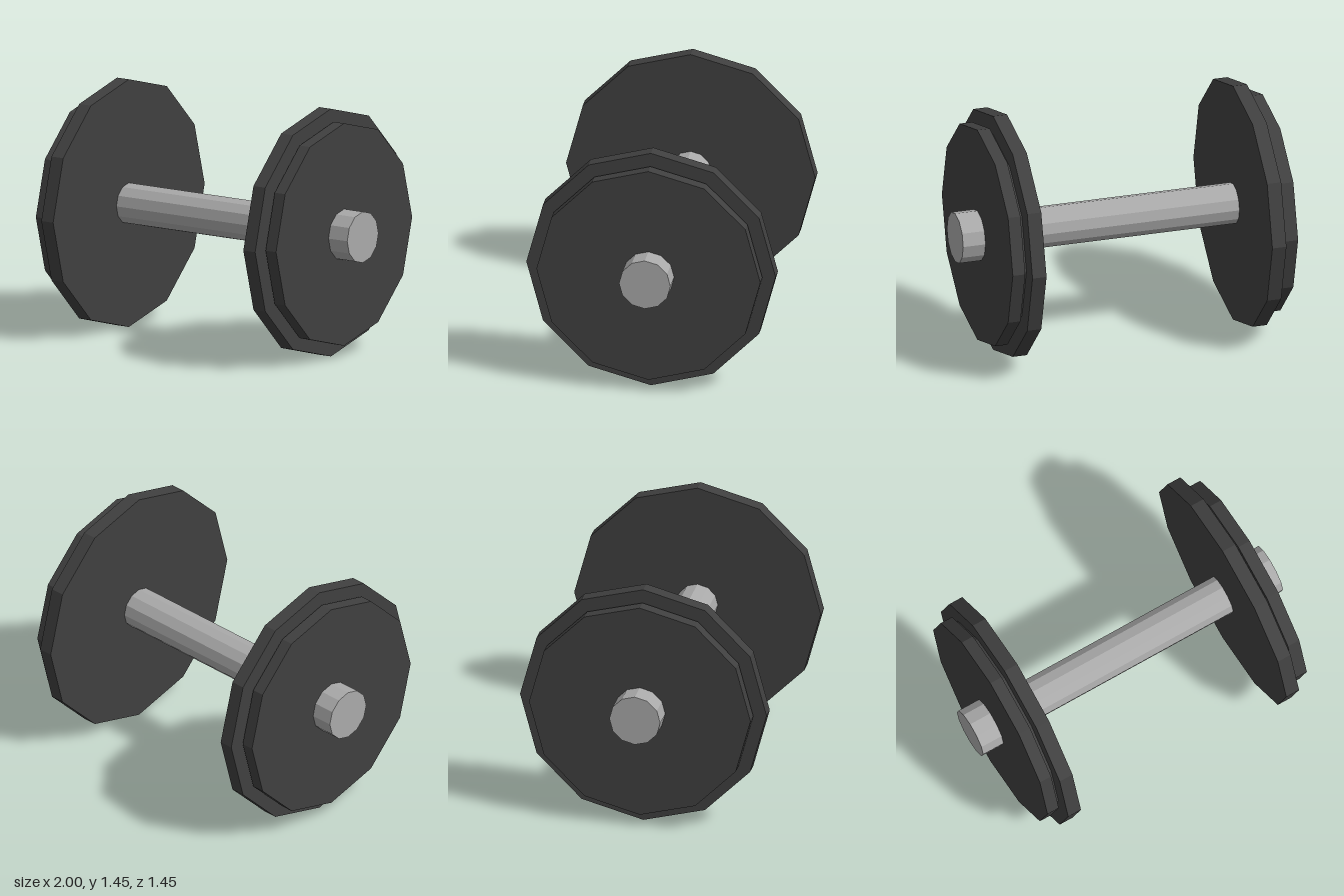
import * as THREE from 'three';

export function createModel() {
  const model = new THREE.Group();
  model.name = 'dumbbell';

  const iron = new THREE.MeshStandardMaterial({ color: 0x404040, flatShading: true });
  iron.name = 'dark iron';
  const steel = new THREE.MeshStandardMaterial({ color: 0xaaaaaa, flatShading: true });
  steel.name = 'steel';

  const axisY = 0.727;

  // Twelve-sided disc lying along x, from x0 to x1
  function disc(name, radius, x0, x1, material, parent) {
    const geometry = new THREE.CylinderGeometry(radius, radius, Math.abs(x1 - x0), 12);
    geometry.rotateZ(Math.PI / 2);
    const mesh = new THREE.Mesh(geometry, material);
    mesh.name = name;
    mesh.position.set((x0 + x1) / 2, axisY, 0);
    parent.add(mesh);
  }

  // Grip bar between the plates
  disc('handle', 0.12, -0.69, 0.69, steel, model);

  // Weights and end caps, mirrored on both sides
  for (const side of [1, -1]) {
    const weight = new THREE.Group();
    weight.name = side > 0 ? 'leftWeight' : 'rightWeight';
    disc('innerPlate', 0.727, side * 0.685, side * 0.77, iron, weight);
    disc('spacer', 0.615, side * 0.77, side * 0.79, iron, weight);
    disc('outerPlate', 0.653, side * 0.79, side * 0.865, iron, weight);
    disc('endCap', 0.15, side * 0.865, side, steel, weight);
    model.add(weight);
  }

  return model;
}
